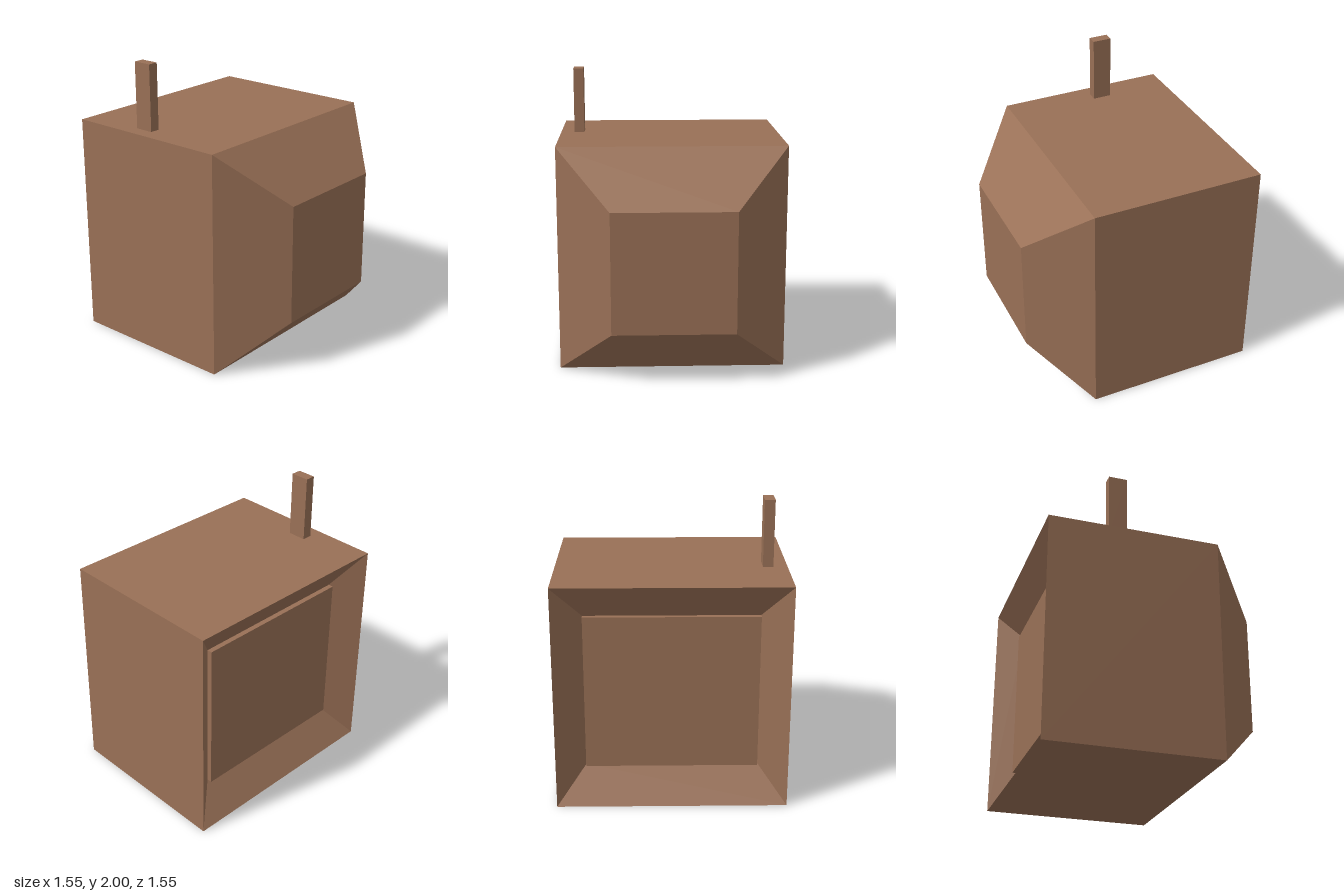
import * as THREE from 'three';

const MID_Y = 0.773;

// Corners of an upright rectangle, counter-clockwise seen from the front
const rect = (halfW, halfH, z) =>
  [[-1, -1], [1, -1], [1, 1], [-1, 1]].map(([sx, sy]) => [sx * halfW, MID_Y + sy * halfH, z]);

const quad = (a, b, c, d) => [...a, ...b, ...c, ...a, ...c, ...d];

// Four walls running from a front ring to the ring behind it
const walls = (a, b) => a.flatMap((_, i) => {
  const j = (i + 1) % 4;
  return quad(a[i], b[i], b[j], a[j]);
});

export function createModel() {
  const model = new THREE.Group();
  const brown = new THREE.MeshStandardMaterial({ color: 0x997056 });
  brown.name = 'brown';

  const add = (name, geometry, x = 0, y = 0, z = 0) => {
    const mesh = new THREE.Mesh(geometry, brown);
    mesh.name = name;
    mesh.position.set(x, y, z);
    model.add(mesh);
  };
  const faces = (positions) => {
    const geometry = new THREE.BufferGeometry();
    geometry.setAttribute('position', new THREE.Float32BufferAttribute(positions, 3));
    geometry.computeVertexNormals();
    return geometry;
  };

  const nose = rect(0.411, 0.411, 0.773);
  const shoulder = rect(0.773, 0.773, 0.411);
  const rim = rect(0.773, 0.773, -0.773);
  const floor = rect(0.579, 0.534, -0.61);

  // Tapered housing with its flat end
  add('taperedHousing', faces([...quad(...nose), ...walls(nose, shoulder)]));
  // Square cabinet sides
  add('cabinet', faces(walls(shoulder, rim)));
  // Sloping bezel and the floor of the recess
  add('bezel', faces([...walls(rim, floor), ...quad(floor[0], floor[3], floor[2], floor[1])]));
  // Slightly raised screen
  add('screen', new THREE.BoxGeometry(1.158, 1.068, 0.035), 0, MID_Y, -0.6275);
  // Upright post on the roof
  add('post', new THREE.BoxGeometry(0.07, 0.46, 0.13), -0.643, 1.77, -0.27);

  return model;
}
